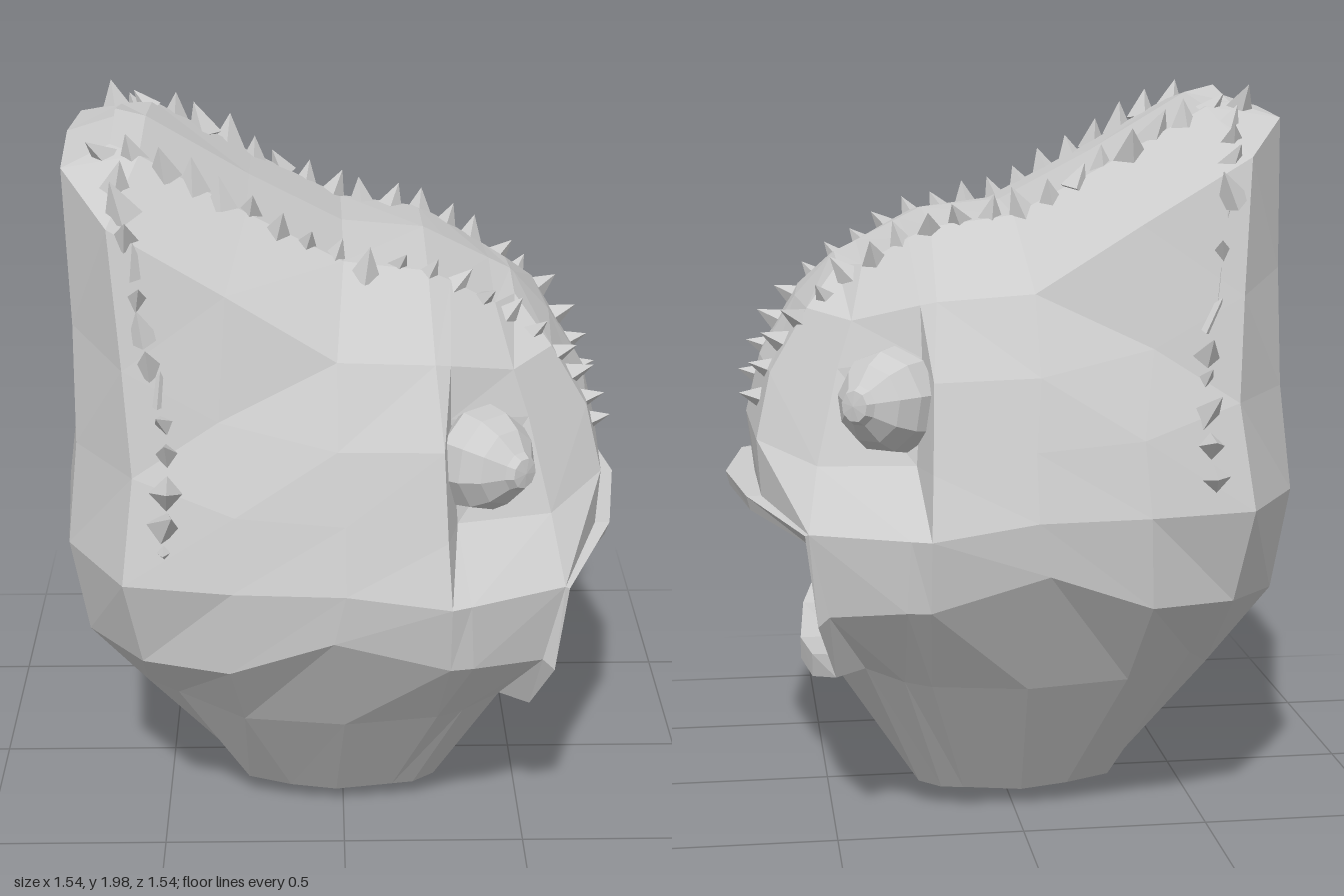
import * as THREE from 'three';

const mat = new THREE.MeshStandardMaterial({ color: 0xcccccc, flatShading: true, side: THREE.DoubleSide });

// Skin rows of [x, y, z] points with quads and mirror them across z = 0.
function mirroredSkin(rows, name, isHole = () => false) {
  const pos = [];
  const tri = (a, b, c) => {
    pos.push(...a, ...b, ...c);
    for (const p of [a, c, b]) pos.push(p[0], p[1], -p[2]);
  };
  for (let r = 0; r < rows.length - 1; r++) {
    for (let c = 0; c < rows[r].length - 1; c++) {
      if (isHole(r, c)) continue;
      const a = rows[r][c], b = rows[r][c + 1], d = rows[r + 1][c + 1], e = rows[r + 1][c];
      tri(a, b, d);
      tri(a, d, e);
    }
  }
  const geo = new THREE.BufferGeometry();
  geo.setAttribute('position', new THREE.Float32BufferAttribute(pos, 3));
  geo.computeVertexNormals();
  const mesh = new THREE.Mesh(geo, mat);
  mesh.name = name;
  return mesh;
}

const UP = new THREE.Vector3(0, 1, 0);

export function createModel() {
  const model = new THREE.Group();
  model.name = 'spinyFishHead';

  // Half rings of the body, from the middle of the back round to the middle of the face (+x)
  const base = [[-.32, .06, 0], [-.31, .06, .14], [-.27, .07, .27], [-.15, .06, .3], [-.02, .05, .31],
    [.14, .06, .3], [.2, .06, .29], [.26, .07, .26], [.27, .06, .14], [.28, .06, 0]];
  const jaw = [[-.57, .36, 0], [-.55, .38, .25], [-.45, .48, .49], [-.27, .43, .55], [0, .42, .57],
    [.25, .43, .55], [.32, .44, .53], [.42, .47, .49], [.47, .39, .28], [.49, .36, 0]];
  const cheek = [[-.72, .62, 0], [-.69, .63, .4], [-.53, .66, .64], [-.3, .67, .73], [-.03, .77, .76],
    [.27, .68, .74], [.33, .68, .73], [.52, .65, .63]];
  const mouthLine = [[-.77, .91, 0], [-.73, .91, .44], [-.57, .91, .7], [-.29, .91, .75], [0, .91, .77],
    [.27, .87, .77], [.32, .87, .75], [.57, .87, .64], [.68, .91, .34], [.69, .91, 0]];
  const eyeLine = [[-.73, 1.2, 0], [-.7, 1.19, .42], [-.54, 1.18, .63], [-.28, 1.1, .7], [0, 1.08, .715],
    [.26, 1.03, .71], [.29, 1.03, .59], [.54, 1.02, .51], [.69, 1.06, .33], [.71, 1.08, 0]];
  const brow = [[-.73, 1.5, 0], [-.7, 1.5, .37], [-.56, 1.45, .575], [-.32, 1.32, .6], [-.02, 1.26, .655],
    [.25, 1.25, .64], [.27, 1.3, .54], [.48, 1.26, .43], [.65, 1.23, .28], [.67, 1.24, 0]];
  const shoulder = [[-.73, 1.91, 0], [-.72, 1.89, .28], [-.59, 1.8, .51], [-.3, 1.63, .53], [-.02, 1.46, .55],
    [.23, 1.44, .52], [.27, 1.43, .5], [.44, 1.38, .4], [.55, 1.4, .28], [.57, 1.4, 0]];
  const crest = [[-.6, 1.95, 0], [-.6, 1.93, .2], [-.52, 1.92, .27], [-.25, 1.77, .28], [0, 1.64, .29],
    [.22, 1.61, .28], [.28, 1.58, .27], [.4, 1.51, .25], [.46, 1.5, .15], [.47, 1.51, 0]];
  const ridgeY = [1.97, 1.97, 1.95, 1.79, 1.66, 1.64, 1.61, 1.55, 1.52, 1.51];
  const ridge = crest.map((p, i) => [p[0], ridgeY[i], 0]);
  const underside = base.map(() => [-.02, 0, 0]);
  // pad the cheek ring across the open mouth; those quads are left out
  while (cheek.length < base.length) cheek.push(cheek[7]);
  const rings = [underside, base, jaw, cheek, mouthLine, eyeLine, brow, shoulder, crest, ridge];
  model.add(mirroredSkin(rings, 'body', (r, c) => (r === 2 || r === 3) && c >= 7));

  // Lips: body edge, outer rim, inner rim, mouth entrance (top middle to bottom middle)
  const bodyEdge = [mouthLine[9], mouthLine[8], mouthLine[7], cheek[7], jaw[7], jaw[8], jaw[9]];
  const outerRim = [[.77, .91, 0], [.72, .91, .34], [.58, .87, .65], [.55, .63, .65],
    [.5, .46, .53], [.55, .39, .28], [.57, .36, 0]];
  const innerRim = [[.76, .87, 0], [.71, .87, .33], [.57, .83, .57], [.54, .64, .57],
    [.49, .51, .49], [.55, .45, .27], [.57, .42, 0]];
  const entrance = [[.64, .85, 0], [.62, .85, .31], [.52, .83, .57], [.49, .65, .57],
    [.42, .51, .48], [.45, .44, .27], [.47, .42, 0]];
  model.add(mirroredSkin([bodyEdge, outerRim, innerRim, entrance], 'lips'));

  // Mouth cavity, narrowing in two steps to a back wall
  const palate = [[.32, .83, 0], [.32, .83, .28], [.3, .79, .5], [.3, .65, .54],
    [.28, .54, .45], [.28, .47, .25], [.28, .46, 0]];
  const throat = [[.02, .78, 0], [.02, .78, .25], [.04, .74, .4], [.04, .66, .43],
    [.04, .6, .36], [.04, .56, .2], [.04, .55, 0]];
  const throatEnd = throat.map(() => [-.03, .67, 0]);
  model.add(mirroredSkin([entrance, palate, throat, throatEnd], 'mouthCavity'));

  // Bulging eyes with a small pupil knob
  const eyeProfile = [[.08, -.08], [.14, 0], [.13, .06], [.1, .11], [.052, .15], [.04, .17], [0, .175]]
    .map(([r, h]) => new THREE.Vector2(r, h));
  const eyeGeo = new THREE.LatheGeometry(eyeProfile, 9);
  for (const s of [1, -1]) {
    const eye = new THREE.Mesh(eyeGeo, mat);
    eye.name = s > 0 ? 'leftEye' : 'rightEye';
    eye.position.set(.34, 1.19, .525 * s);
    eye.quaternion.setFromUnitVectors(UP, new THREE.Vector3(.66, .05, .75 * s).normalize());
    model.add(eye);
  }

  // Rows of irregular four-sided spikes
  let seed = 7;
  const rand = () => (seed = (seed * 16807) % 2147483647) / 2147483647;
  const spikeGeo = new THREE.ConeGeometry(.046, .095, 4);
  spikeGeo.translate(0, .02, 0);
  function spikeRow(name, points, count, lean) {
    const curve = new THREE.CatmullRomCurve3(points.map(p => new THREE.Vector3(...p)));
    for (const s of [1, -1]) {
      const row = new THREE.Group();
      row.name = (s > 0 ? 'left' : 'right') + name;
      for (let i = 0; i < count; i++) {
        const p = curve.getPointAt(i / (count - 1));
        const dir = p.clone().sub(new THREE.Vector3(-.1, .9, p.z * .4)).normalize();
        dir.x += lean + (rand() - .5) * .8;
        dir.z += (rand() - .4) * .9;
        p.z += (rand() - .5) * .05;
        const spike = new THREE.Mesh(spikeGeo, mat);
        spike.name = 'spike';
        spike.position.set(p.x, p.y, p.z * s);
        spike.quaternion.setFromUnitVectors(UP, dir.setZ(dir.z * s).normalize());
        spike.scale.setScalar(.75 + rand() * .35);
        row.add(spike);
      }
      model.add(row);
    }
  }
  spikeRow('CrestSpikes', [[-.62, 1.92, .26], [-.5, 1.905, .27], [-.25, 1.77, .28], [0, 1.64, .29], [.22, 1.6, .28],
    [.4, 1.5, .25], [.55, 1.38, .24], [.64, 1.25, .22], [.67, 1.15, .2]], 20, 0);
  spikeRow('FlankSpikes', [[-.57, 1.88, .36], [-.55, 1.81, .47], [-.52, 1.65, .53], [-.5, 1.5, .55],
    [-.46, 1.35, .59], [-.45, 1.18, .65], [-.46, 1.0, .7]], 13, .4);

  return model;
}
